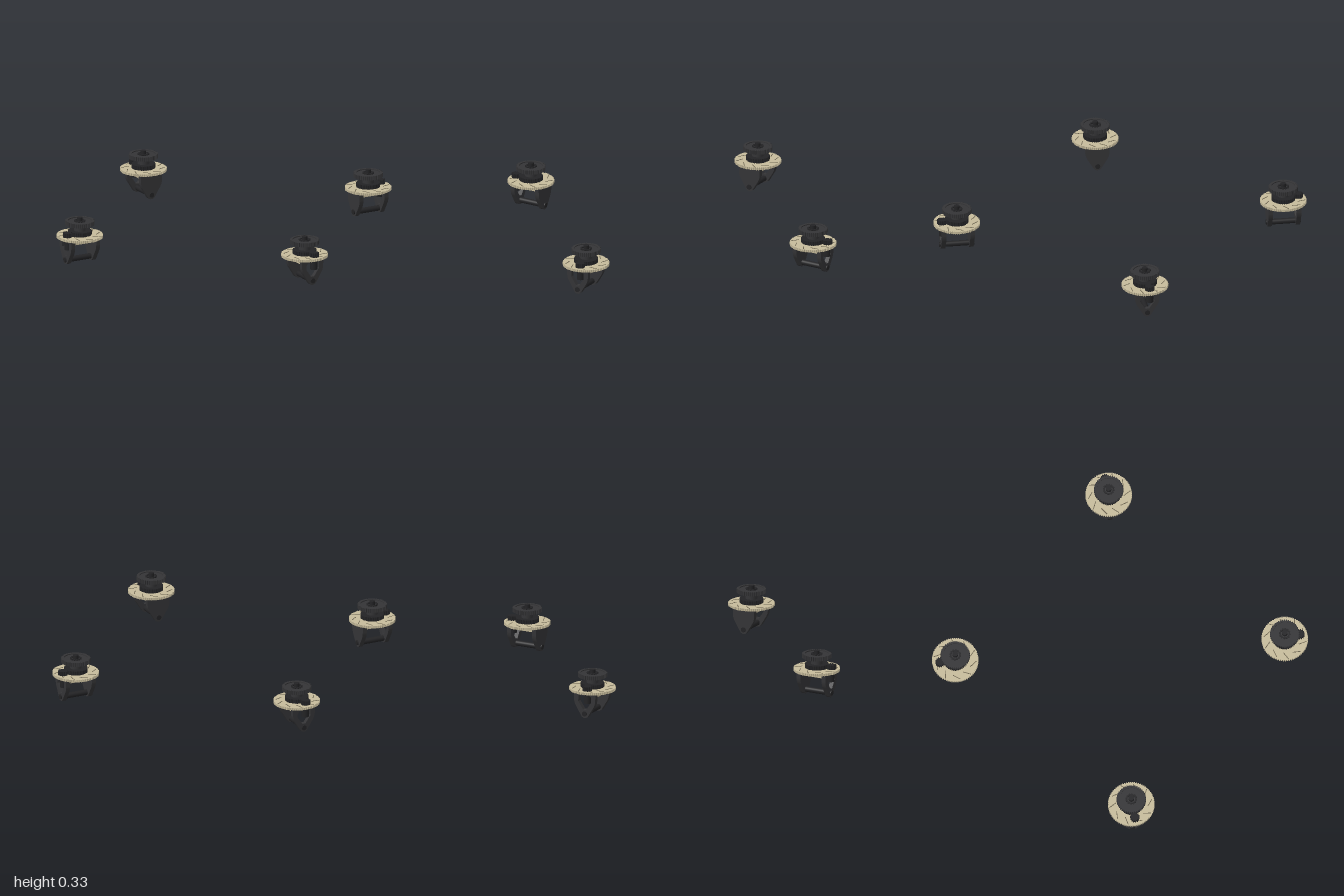
import * as THREE from 'three';

const tan = new THREE.MeshStandardMaterial({ color: 0xc6bb9b });
tan.name = 'tan';
const groove = new THREE.MeshStandardMaterial({ color: 0x6b634e });
groove.name = 'darkTan';
const dark = new THREE.MeshStandardMaterial({ color: 0x343436 });
dark.name = 'charcoal';
const black = new THREE.MeshStandardMaterial({ color: 0x232325 });
black.name = 'black';

function add(group, name, geometry, material, x = 0, y = 0, z = 0) {
  const mesh = new THREE.Mesh(geometry, material);
  mesh.name = name;
  mesh.position.set(x, y, z);
  group.add(mesh);
  return mesh;
}

// Flat toothed ring lying in the ground plane, bottom at y = 0
function gear(radius, teeth, depth, height, bore) {
  const shape = new THREE.Shape();
  for (let i = 0; i < teeth; i++) {
    [[0, -depth], [0.3, -depth], [0.45, 0], [0.8, 0]].forEach(([f, d], k) => {
      const a = ((i + f) / teeth) * Math.PI * 2;
      const x = (radius + d) * Math.cos(a), y = (radius + d) * Math.sin(a);
      if (i + k === 0) shape.moveTo(x, y); else shape.lineTo(x, y);
    });
  }
  shape.closePath();
  if (bore) shape.holes.push(new THREE.Path().absarc(0, 0, bore, 0, Math.PI * 2, true));
  return new THREE.ExtrudeGeometry(shape, { depth: height, bevelEnabled: false, curveSegments: 24 })
    .rotateX(-Math.PI / 2);
}

const disc = (r, h) => new THREE.CylinderGeometry(r, r, h, 32);

// Tapered fork cheek with a rounded foot; the outer one has a window
function cheek(open) {
  const s = new THREE.Shape();
  s.moveTo(-0.088, 0.186);
  s.lineTo(-0.086, 0.13);
  s.quadraticCurveTo(-0.082, 0.1, -0.068, 0.08);
  s.lineTo(-0.032, 0.022);
  s.quadraticCurveTo(-0.02, 0, 0, 0);
  s.quadraticCurveTo(0.02, 0, 0.032, 0.022);
  s.lineTo(0.068, 0.08);
  s.quadraticCurveTo(0.082, 0.1, 0.086, 0.13);
  s.lineTo(0.088, 0.186);
  s.closePath();
  if (open) {
    const h = new THREE.Path();
    h.moveTo(-0.05, 0.165);
    h.lineTo(0.05, 0.165);
    h.lineTo(0.052, 0.12);
    h.lineTo(0.012, 0.062);
    h.lineTo(-0.012, 0.062);
    h.lineTo(-0.052, 0.12);
    h.closePath();
    s.holes.push(h);
  }
  return new THREE.ExtrudeGeometry(s, { depth: 0.032, bevelEnabled: false, curveSegments: 6 });
}

// One steering unit, with its outer side towards +z
function createUnit() {
  const unit = new THREE.Group();
  unit.name = 'steeringUnit';

  // Turntable with sweeping ribs
  add(unit, 'turntable', gear(0.167, 72, 0.005, 0.018, 0), tan, 0, 0.186, 0);
  add(unit, 'mountingSlab', new THREE.BoxGeometry(0.17, 0.028, 0.176), tan, 0, 0.172, 0);
  for (let i = 0; i < 10; i++) {
    const a = (i / 10) * Math.PI * 2;
    const rib = add(unit, 'turntableRib', new THREE.BoxGeometry(0.06, 0.004, 0.005), groove,
      0.132 * Math.cos(a), 0.204, 0.132 * Math.sin(a));
    rib.rotation.y = -a + (i % 2 ? 0.6 : 1.0);
  }

  // Fork cheeks, axle and foot bosses
  add(unit, 'outerCheek', cheek(true), dark, 0, 0, 0.086);
  add(unit, 'innerCheek', cheek(false), dark, 0, 0, -0.118);
  add(unit, 'axle', disc(0.02, 0.2).rotateX(Math.PI / 2), black, 0, 0.032, 0);
  for (const side of [-1, 1]) {
    add(unit, 'axleCap', disc(0.018, 0.012).rotateX(Math.PI / 2), black, 0, 0.032, side * 0.12);
  }

  // Steering motor and pinion
  add(unit, 'motor', disc(0.027, 0.075), black, 0.018, 0.15, 0.105);
  add(unit, 'pinion', gear(0.034, 14, 0.006, 0.032, 0), black, 0.018, 0.206, 0.11);

  // Stacked hub
  add(unit, 'lowerFlange', gear(0.085, 40, 0.004, 0.03, 0), black, 0, 0.206, 0);
  add(unit, 'hub', disc(0.042, 0.05), dark, 0, 0.258, 0);

  // Recessed upper gear with its shaft
  add(unit, 'upperGearRim', gear(0.105, 44, 0.006, 0.03, 0.085), dark, 0, 0.28, 0);
  add(unit, 'upperGearWeb', disc(0.087, 0.02), dark, 0, 0.293, 0);
  add(unit, 'shaftCollar', gear(0.042, 12, 0.005, 0.008, 0.028), black, 0, 0.303, 0);
  add(unit, 'shaft', disc(0.02, 0.05), black, 0, 0.308, 0);
  return unit;
}

export function createModel() {
  const model = new THREE.Group();
  model.name = 'fourSteeringUnits';
  for (const x of [-1, 1]) {
    for (const z of [-1, 1]) {
      const unit = createUnit();
      unit.position.set(x * 0.833, 0, z * 0.833);
      unit.rotation.y = Math.atan2(x, z);
      model.add(unit);
    }
  }
  return model;
}
